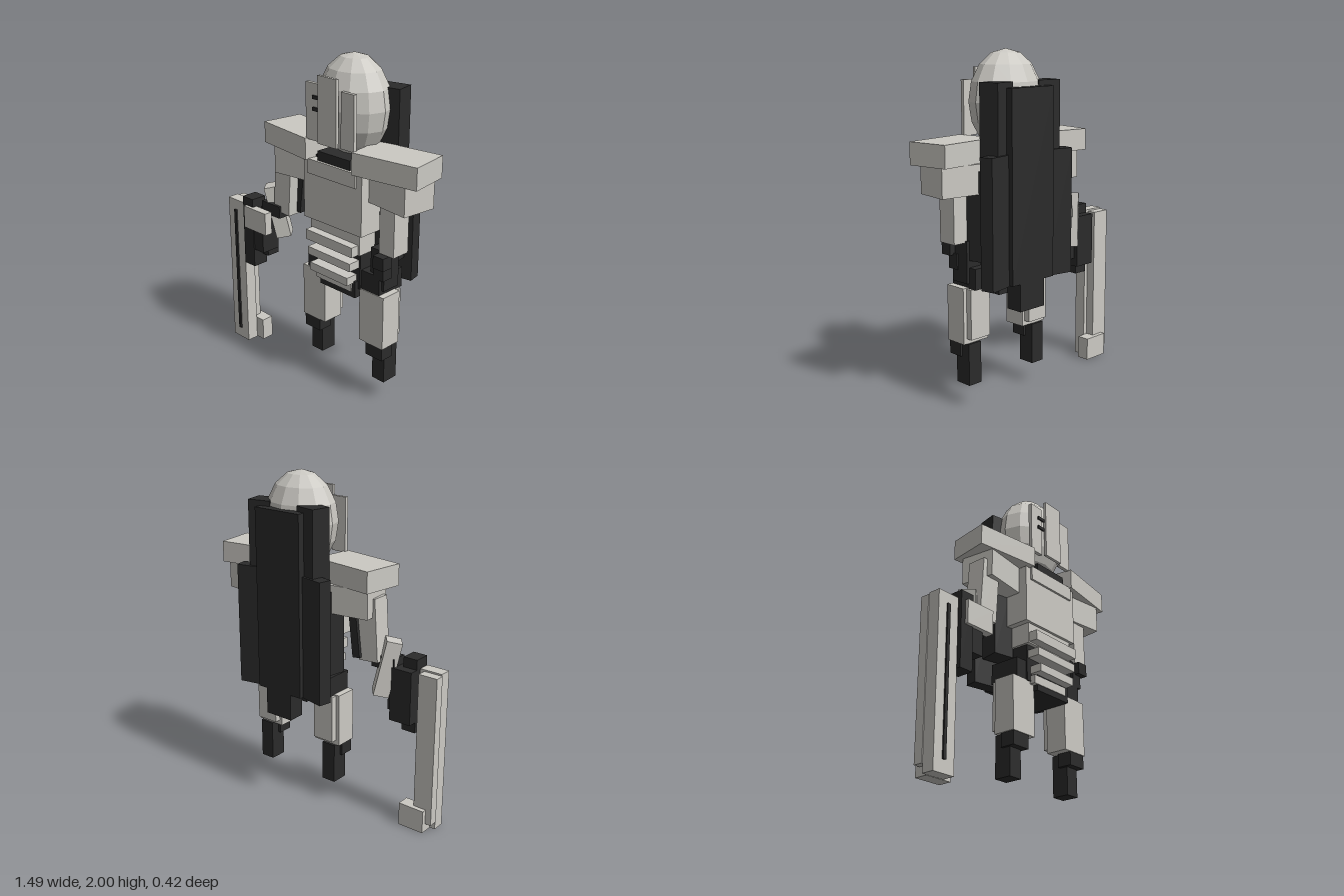
import * as THREE from 'three';

export function createModel() {
  const model = new THREE.Group();
  model.name = 'armouredFigure';
  const armour = new THREE.MeshStandardMaterial({ color: 0xcbc9c3 });
  armour.name = 'paleArmour';
  const dark = new THREE.MeshStandardMaterial({ color: 0x2b2b2b });
  dark.name = 'charcoal';
  const mid = 0.175; // centre line of the body

  // Box given by its extents before turning
  function box(name, mat, [x0, x1], [y0, y1], [z0, z1], rot = [0, 0, 0]) {
    const m = new THREE.Mesh(new THREE.BoxGeometry(x1 - x0, y1 - y0, z1 - z0), mat);
    m.position.set((x0 + x1) / 2, (y0 + y1) / 2, (z0 + z1) / 2);
    m.rotation.set(...rot);
    m.name = name;
    model.add(m);
    return m;
  }
  // Mirrored pair about the centre line; x is measured outward from it
  function pair(name, mat, [a, b], y, z, turn = 0, centre = mid) {
    box(name + 'Left', mat, [centre + a, centre + b], y, z, [0, turn, 0]);
    box(name + 'Right', mat, [centre - b, centre - a], y, z, [0, -turn, 0]);
  }

  // Head: faceted egg
  const skull = new THREE.SphereGeometry(1, 12, 8).toNonIndexed();
  skull.scale(0.225, 0.285, 0.185);
  skull.computeVertexNormals();
  const head = new THREE.Mesh(skull, armour);
  head.name = 'head';
  head.position.set(mid, 1.715, 0.005);
  model.add(head);

  // Face plates and eye slits
  box('facePlateCentre', armour, [0.097, 0.235], [1.52, 1.895], [0.19, 0.208]);
  box('facePlateRight', armour, [-0.015, 0.082], [1.52, 1.84], [0.165, 0.187]);
  box('facePlateLeft', armour, [0.25, 0.345], [1.52, 1.83], [0.165, 0.187]);
  for (const y of [1.765, 1.7]) {
    box('eyeSlit', dark, [0.043, 0.097], [y - 0.01, y + 0.01], [0.187, 0.196]);
  }

  // Neck and torso
  box('neck', dark, [0.055, 0.3], [1.39, 1.46], [-0.08, 0.17]);
  box('torsoCore', dark, [0, 0.35], [0.7, 1.42], [-0.12, 0.13]);
  box('collarPlate', armour, [-0.012, 0.355], [1.32, 1.405], [0.02, 0.185]);
  box('chest', armour, [-0.052, 0.392], [1.045, 1.395], [-0.06, 0.172]);
  box('ribPlate', armour, [-0.015, 0.365], [0.92, 1.045], [0, 0.155]);

  // Belly bands
  const bands = [[0.925, 0.985, 0.18], [0.835, 0.883, 0.165], [0.742, 0.79, 0.147]];
  bands.forEach(([y0, y1, w], i) => {
    box('bellyBand' + (i + 1), armour, [mid - w, mid + w], [y0, y1], [0.1, 0.207], [0, 0, -0.015]);
  });
  box('lowerBellyPlate', armour, [0.03, 0.31], [0.685, 0.735], [0.08, 0.16]);
  box('pelvis', dark, [0.06, 0.335], [0.65, 0.75], [-0.1, 0.155]);

  // Shoulders
  pair('shoulderPad', armour, [0.155, 0.56], [1.4, 1.525], [-0.075, 0.175], 0.14, 0.168);
  pair('shoulderUnder', armour, [0.175, 0.51], [1.235, 1.4], [-0.08, 0.13], -0.12);

  // Back panels
  box('backPanelCentre', dark, [0.015, 0.335], [0.72, 1.8], [-0.21, -0.125]);
  box('backPanelTail', dark, [0.09, 0.275], [0.56, 0.76], [-0.21, -0.105]);
  pair('backPanelOuter', dark, [0.135, 0.318], [0.715, 1.445], [-0.195, -0.115], 0.2);
  pair('backPanelUpper', dark, [0.11, 0.25], [1.2, 1.83], [-0.17, -0.05], 0.2);
  pair('sidePanel', dark, [0.17, 0.3], [0.86, 1.36], [-0.1, 0.02], 0.2);

  // Legs
  const hips = 0.203;
  pair('hip', dark, [0.12, 0.28], [0.7, 0.82], [-0.07, 0.12], 0, hips);
  pair('thigh', armour, [0.138, 0.318], [0.38, 0.705], [-0.01, 0.125], 0, hips);
  pair('thighBackPlate', armour, [0.155, 0.295], [0.41, 0.7], [-0.047, -0.01], 0, hips);
  pair('knee', dark, [0.187, 0.31], [0.3, 0.38], [0.03, 0.12], 0, hips);
  pair('foot', dark, [0.205, 0.295], [0.135, 0.38], [-0.025, 0.08], 0, hips);

  // Left arm, hanging
  box('upperArmLeft', armour, [0.47, 0.575], [0.96, 1.25], [-0.005, 0.112]);
  box('forearmLeft', dark, [0.4, 0.5], [0.73, 0.97], [-0.02, 0.1]);
  box('handLeft', dark, [0.46, 0.535], [0.88, 0.955], [0.08, 0.15]);
  box('fingersLeft', dark, [0.44, 0.51], [0.8, 0.89], [0.05, 0.12]);

  // Right arm, reaching to the weapon
  box('upperArmRight', armour, [-0.365, -0.235], [0.97, 1.34], [0, 0.115], [0, 0, -0.07]);
  box('armpitPanel', dark, [-0.25, -0.2], [0.98, 1.27], [-0.02, 0.05], [0, 0, -0.12]);
  box('forearmRight', armour, [-0.455, -0.365], [0.78, 1.11], [0, 0.1], [0, 0.7, 0.22]);
  box('wristRight', dark, [-0.47, -0.315], [0.935, 1.01], [0.03, 0.13]);
  box('handRight', dark, [-0.555, -0.42], [0.69, 0.93], [0.05, 0.175]);
  box('gripRight', dark, [-0.59, -0.5], [0.575, 1.02], [0.08, 0.18]);
  box('gripBlock', dark, [-0.59, -0.45], [0.64, 0.96], [0.025, 0.11]);
  box('handGuard', armour, [-0.56, -0.365], [0.83, 0.97], [0.15, 0.2]);

  // Long upright weapon
  box('weaponFront', armour, [-0.743, -0.602], [0, 0.97], [0.095, 0.168]);
  box('weaponBack', armour, [-0.748, -0.628], [0.05, 0.96], [0.04, 0.095]);
  box('weaponFoot', armour, [-0.71, -0.545], [0, 0.14], [0.012, 0.09]);
  box('weaponSlit', dark, [-0.685, -0.665], [0.07, 0.905], [0.168, 0.177]);

  return model;
}
